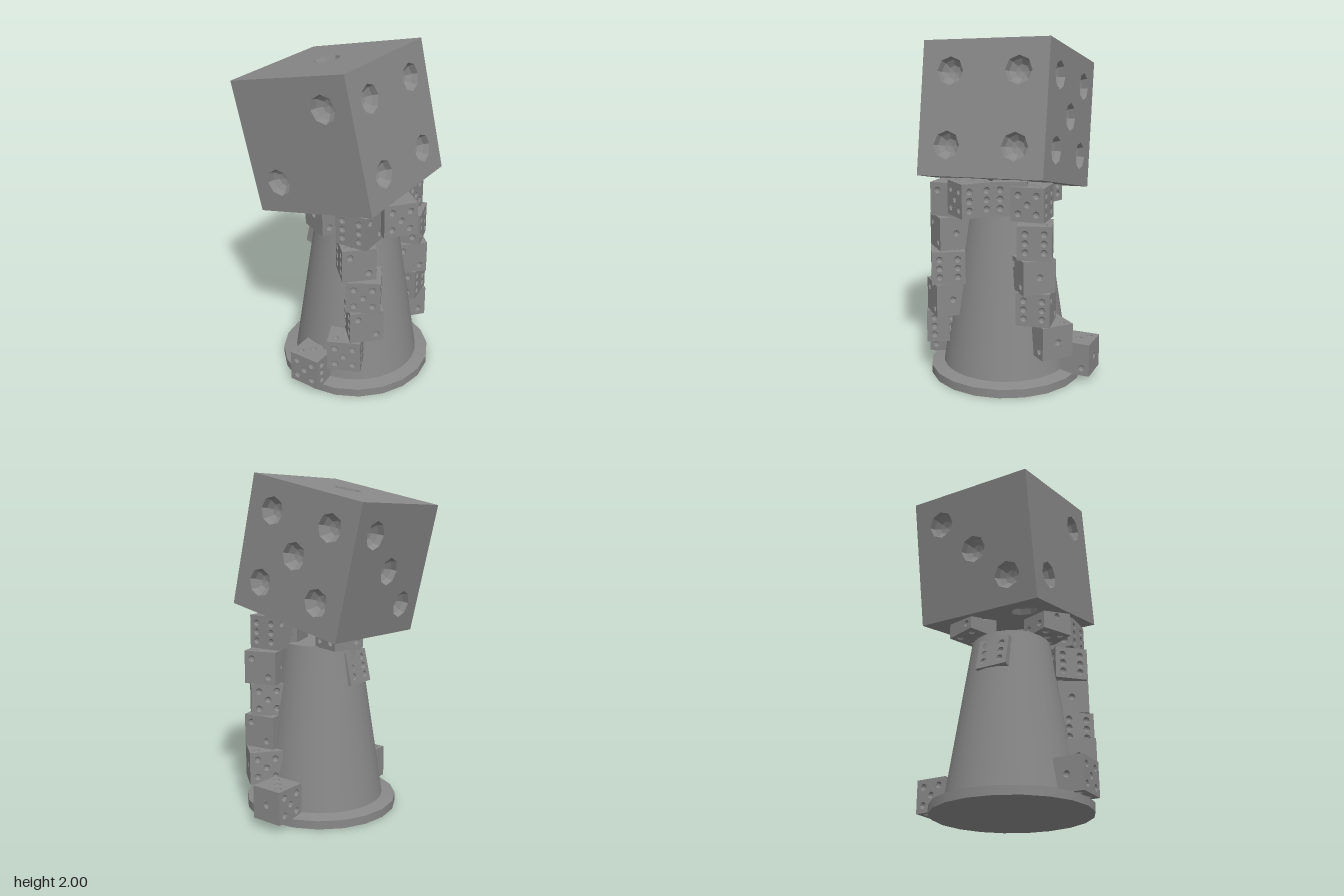
import * as THREE from 'three';
import { mergeGeometries } from 'three/addons/utils/BufferGeometryUtils.js';

const PIP_R = 0.105, PIP_DEPTH = 0.085, PIP_POS = 0.27, SMALL = 0.195, GREY = 0x888888;

// Pip layouts on a unit face, in steps of PIP_POS
const LAYOUT = {
  1: [[0, 0]],
  2: [[-1, 1], [1, -1]],
  3: [[1, 1], [0, 0], [-1, -1]],
  4: [[1, 1], [-1, -1], [-1, 1], [1, -1]],
  5: [[1, 1], [-1, -1], [-1, 1], [1, -1], [0, 0]],
  6: [[1, 1], [1, 0], [1, -1], [-1, 1], [-1, 0], [-1, -1]],
};

// One die face with holes and hollow eight-sided pips, facing +z at z = 0.5
function faceGeometry(value) {
  const shape = new THREE.Shape([[-0.5, -0.5], [0.5, -0.5], [0.5, 0.5], [-0.5, 0.5]]
    .map(([x, y]) => new THREE.Vector2(x, y)));
  const profile = [];
  for (let i = 0; i <= 3; i++) {
    const t = (i / 3) * Math.PI / 2;
    profile.push(new THREE.Vector2(i === 3 ? 0 : PIP_R * Math.cos(t), -PIP_DEPTH * Math.sin(t)));
  }
  const bowls = [];
  for (const [u, v] of LAYOUT[value]) {
    const cx = u * PIP_POS, cy = v * PIP_POS, ring = [];
    for (let i = 0; i < 8; i++) {
      const a = -i * Math.PI / 4;
      ring.push(new THREE.Vector2(cx + PIP_R * Math.cos(a), cy + PIP_R * Math.sin(a)));
    }
    shape.holes.push(new THREE.Path(ring));
    bowls.push(new THREE.LatheGeometry(profile, 8).rotateX(Math.PI / 2).translate(cx, cy, 0));
  }
  return mergeGeometries([new THREE.ShapeGeometry(shape), ...bowls]).translate(0, 0, 0.5);
}

// Unit die: opposite faces add up to seven
function dieGeometry(right, top, front) {
  const q = Math.PI / 2;
  return mergeGeometries([
    faceGeometry(front),
    faceGeometry(7 - front).rotateY(Math.PI),
    faceGeometry(right).rotateY(q),
    faceGeometry(7 - right).rotateY(-q),
    faceGeometry(top).rotateX(-q),
    faceGeometry(7 - top).rotateX(q),
  ]);
}

export function createModel() {
  const model = new THREE.Group();
  const smooth = new THREE.MeshStandardMaterial({ color: GREY });
  const flat = new THREE.MeshStandardMaterial({ color: GREY, flatShading: true });

  const add = (name, geometry, material, x, y, z) => {
    const mesh = new THREE.Mesh(geometry, material);
    mesh.name = name;
    mesh.position.set(x, y, z);
    model.add(mesh);
    return mesh;
  };
  const addDie = (name, size, [right, top, front], [x, y, z], rotation) => {
    const die = add(name, dieGeometry(right, top, front), flat, x, y, z);
    die.scale.setScalar(size);
    die.rotation.set(...rotation.map(THREE.MathUtils.degToRad));
  };

  // Base disc, its low step and the tapered column
  add('baseDisc', new THREE.CylinderGeometry(0.46, 0.46, 0.05, 20), smooth, 0.043, 0.025, 0.025);
  add('baseStep', new THREE.CylinderGeometry(0.385, 0.46, 0.015, 20), smooth, 0.043, 0.0575, 0.025);
  add('column', new THREE.CylinderGeometry(0.235, 0.382, 0.97, 32), smooth, 0.045, 0.535, 0.025);

  // Large tilted die on top, lying on its side face
  addDie('largeDie', 0.767, [1, 3, 2], [-0.05, 1.535, 0.045], [1.7, 0, 102]);

  // Small dice: faces (right, top, front), position, turn about y
  const stacks = {
    frontStackDie: [
      [[6, 3, 5], [0.007, 0.145, 0.43], 0],
      [[6, 3, 5], [0.203, 0.3, 0.37], 25],
      [[1, 3, 2], [0.278, 0.495, 0.3], 45],
      [[6, 3, 5], [0.278, 0.687, 0.297], 30],
      [[1, 3, 2], [0.225, 0.882, 0.3], 45],
      [[2, 3, 6], [0.235, 1.085, 0.28], 3],
    ],
    backStackDie: [
      [[1, 3, 2], [0.007, 0.145, -0.43], 90],
      [[1, 3, 2], [0.207, 0.3, -0.318], 50],
      [[6, 3, 5], [0.24, 0.495, -0.247], 10],
      [[1, 3, 2], [0.255, 0.687, -0.232], 45],
      [[6, 3, 5], [0.245, 0.882, -0.243], 18],
      [[5, 3, 1], [0.215, 1.09, -0.21], 5],
    ],
    topRingDie: [
      [[6, 3, 5], [0.358, 1.115, 0.105], 51],
      [[6, 3, 5], [0.22, 1.115, -0.08], 20],
      [[3, 2, 1], [0.028, 1.115, 0.28], -25],
      [[5, 3, 1], [-0.185, 1.115, -0.1], -18],
    ],
  };
  for (const [name, dice] of Object.entries(stacks)) {
    dice.forEach(([faces, position, turn], i) =>
      addDie(`${name}${i + 1}`, SMALL, faces, position, [0, turn, 0]));
  }

  // Die sunk into the side of the column
  addDie('sunkenDie', SMALL, [1, 3, 2], [-0.12, 0.86, 0.05], [0, 0, -13]);

  return model;
}
